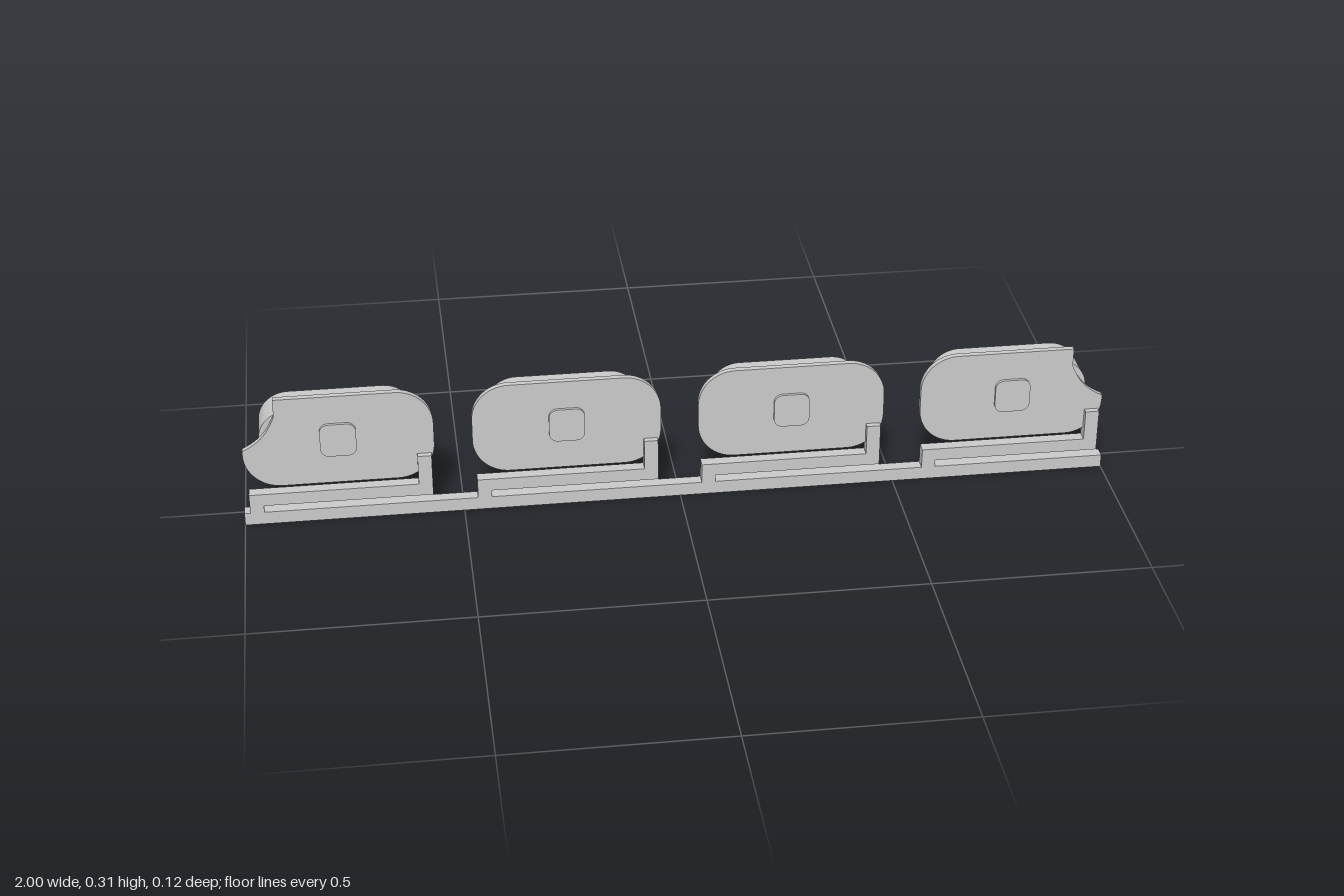
import * as THREE from 'three';
import { toCreasedNormals } from 'three/addons/utils/BufferGeometryUtils.js';

const material = new THREE.MeshStandardMaterial({ color: 0xcccccc });

// Rounded rectangle outline centred on the origin
function roundedRect(w, h, r) {
  const x = w / 2, y = h / 2;
  const s = new THREE.Shape();
  s.moveTo(-x + r, -y);
  s.lineTo(x - r, -y);
  s.absarc(x - r, -y + r, r, -Math.PI / 2, 0);
  s.lineTo(x, y - r);
  s.absarc(x - r, y - r, r, 0, Math.PI / 2);
  s.lineTo(-x + r, y);
  s.absarc(-x + r, y - r, r, Math.PI / 2, Math.PI);
  s.lineTo(-x, -y + r);
  s.absarc(-x + r, -y + r, r, Math.PI, Math.PI * 1.5);
  return s;
}

// Rounded plate with a concave bite out of one upper corner (side = +1 or -1)
function notchedRect(w, h, r, side) {
  const x = w / 2, y = h / 2;
  const s = new THREE.Shape();
  s.moveTo(-x + r, -y);
  s.lineTo(x - r, -y);
  s.absarc(x - r, -y + r, r, -Math.PI / 2, 0);
  s.lineTo(x, -0.016);
  s.bezierCurveTo(x - 0.045, 0.006, x - 0.06, 0.03, x - 0.076, 0.068);
  s.lineTo(x - 0.076, y);
  s.lineTo(-x + r, y);
  s.absarc(-x + r, y - r, r, Math.PI / 2, Math.PI);
  s.lineTo(-x, -y + r);
  s.absarc(-x + r, -y + r, r, Math.PI, Math.PI * 1.5);
  if (side > 0) return s;
  return new THREE.Shape(s.getPoints(12).map(p => new THREE.Vector2(-p.x, p.y)).reverse());
}

// Extrude an outline between two z positions
function slab(name, shape, x, y, z0, z1) {
  const geo = new THREE.ExtrudeGeometry(shape, { depth: z1 - z0, bevelEnabled: false, curveSegments: 12 });
  const mesh = new THREE.Mesh(toCreasedNormals(geo, 0.6), material);
  mesh.name = name;
  mesh.position.set(x, y, z0);
  return mesh;
}

// Box given by its x and y limits, sharing the depth of the rail
const Z0 = 0.03, Z1 = 0.058;
function bar(name, x0, x1, y0, y1) {
  const mesh = new THREE.Mesh(new THREE.BoxGeometry(x1 - x0, y1 - y0, Z1 - Z0), material);
  mesh.name = name;
  mesh.position.set((x0 + x1) / 2, (y0 + y1) / 2, (Z0 + Z1) / 2);
  return mesh;
}

export function createModel() {
  const model = new THREE.Group();
  model.name = 'buttonStrip';

  // Long rail carrying all buttons
  model.add(bar('rail', -1, 1, 0, 0.031));

  for (let i = 0; i < 4; i++) {
    const c = (i - 1.5) * 0.5185;
    const unit = new THREE.Group();
    unit.name = 'button' + (i + 1);
    unit.position.x = c;

    // Flexible hooked arm: foot, long spring bar, riser
    unit.add(bar('armFoot', -0.209, -0.177, 0.031, 0.048));
    unit.add(bar('armBar', -0.209, 0.208, 0.048, 0.078));
    unit.add(bar('armRiser', 0.176, 0.208, 0.078, 0.151));

    // Flange plate, notched at the outer corners of the strip
    const side = i === 0 ? -1 : i === 3 ? 1 : 0;
    const outline = side ? notchedRect(0.432, 0.223, 0.085, side) : roundedRect(0.432, 0.223, 0.085);
    unit.add(slab('flange', outline, 0, 0.2015, 0.03, 0.044));

    // Button body behind and small contact pad in front
    unit.add(slab('buttonBody', roundedRect(0.355, 0.147, 0.071), 0, 0.2035, -0.058, 0.03));
    unit.add(slab('contactPad', roundedRect(0.082, 0.082, 0.02), 0, 0.203, 0.044, 0.051));
    model.add(unit);
  }
  return model;
}
